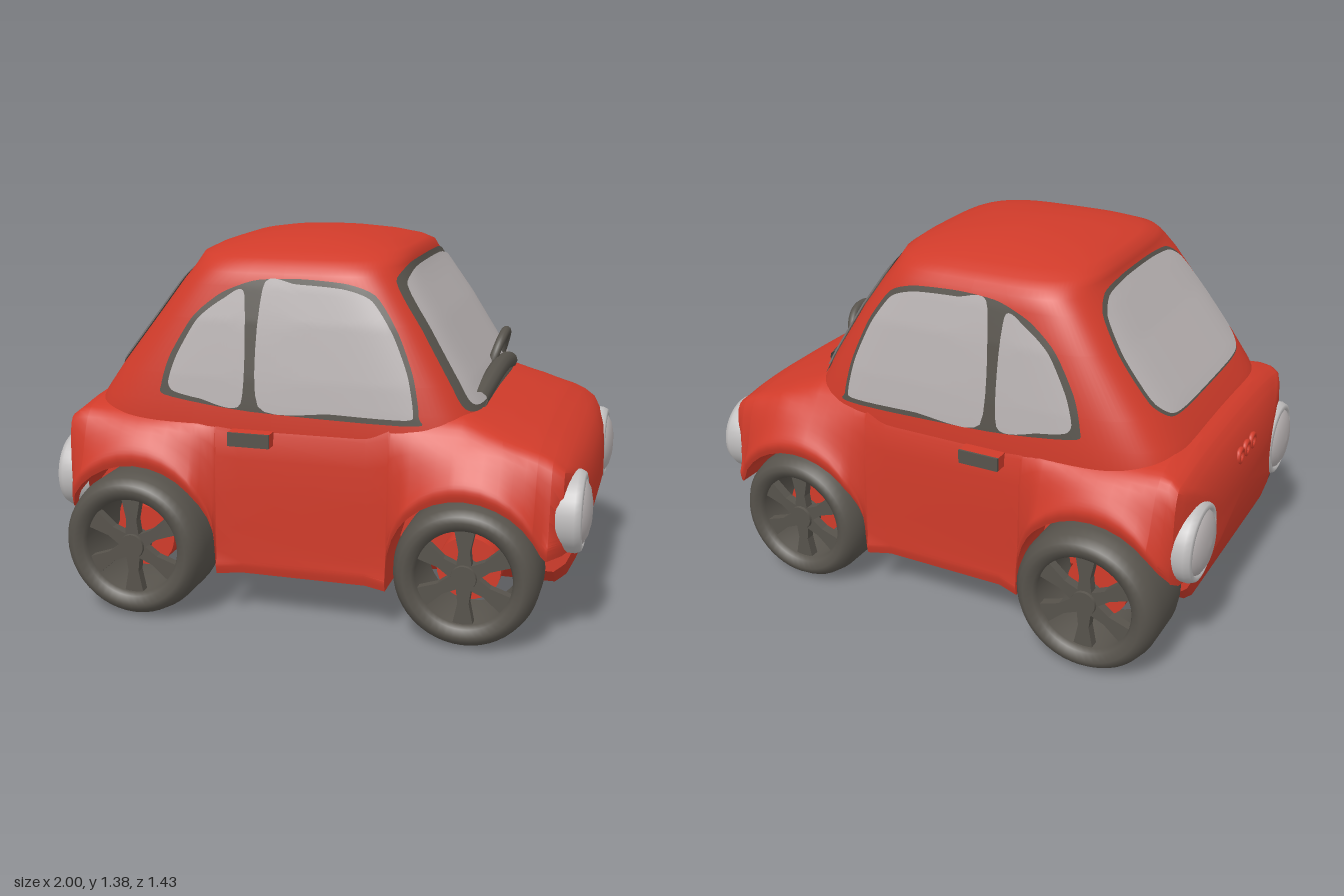
import * as THREE from 'three';
import { toCreasedNormals } from 'three/addons/utils/BufferGeometryUtils.js';

const mat = (name, color, side = THREE.FrontSide) => {
  const m = new THREE.MeshStandardMaterial({ color, side });
  m.name = name;
  return m;
};
const V = (x, y, z) => new THREE.Vector3(x, y, z);
const V2 = (x, y) => new THREE.Vector2(x, y);

// Piecewise-linear lookup in rows of [key, a, b, c]
function lookup(rows, k) {
  let i = 0;
  while (i < rows.length - 2 && k > rows[i + 1][0]) i++;
  const p = rows[i], q = rows[i + 1];
  const t = THREE.MathUtils.clamp((k - p[0]) / (q[0] - p[0]), 0, 1);
  return p.slice(1).map((v, j) => v + (q[j + 1] - v) * t);
}

// Skin closed rings of points, with optional end cap
function loft(rings, capEnd = true, crease = 0.6) {
  const n = rings[0].length, pts = rings.flat(), idx = [];
  for (let i = 0; i < rings.length - 1; i++) {
    for (let j = 0; j < n; j++) {
      const a = i * n + j, b = i * n + (j + 1) % n;
      idx.push(a, b, b + n, a, b + n, a + n);
    }
  }
  const cap = (start, flip) => {
    const mid = V(0, 0, 0);
    for (let j = 0; j < n; j++) mid.addScaledVector(pts[start + j], 1 / n);
    const c = pts.push(mid) - 1;
    for (let j = 0; j < n; j++) {
      const a = start + j, b = start + (j + 1) % n;
      idx.push(c, flip ? b : a, flip ? a : b);
    }
  };
  cap(0, true);
  if (capEnd) cap((rings.length - 1) * n, false);
  const g = new THREE.BufferGeometry().setFromPoints(pts);
  g.setIndex(idx);
  return toCreasedNormals(g, crease);
}

// Wheels: axle x, axle y, tyre radius, arch radius, outer z, width
const AXLES = [[0.587, 0.262, 0.26, 0.282, 0.668, 0.26], [-0.634, 0.272, 0.27, 0.295, 0.715, 0.3]];

// Lower body stations: x, top, half width, bottom
const BODY = [
  [-0.975, 0.6, 0.28, 0.4], [-0.96, 0.66, 0.4, 0.33], [-0.94, 0.71, 0.5, 0.26], [-0.91, 0.75, 0.6, 0.195],
  [-0.88, 0.775, 0.645, 0.17], [-0.84, 0.79, 0.66, 0.17], [-0.41, 0.78, 0.65, 0.17], [-0.345, 0.77, 0.62, 0.17],
  [-0.25, 0.76, 0.584, 0.17], [0.22, 0.76, 0.584, 0.17], [0.31, 0.8, 0.62, 0.17], [0.37, 0.83, 0.65, 0.17],
  [0.55, 0.82, 0.665, 0.17], [0.7, 0.775, 0.67, 0.17], [0.82, 0.735, 0.66, 0.17], [0.87, 0.71, 0.635, 0.17],
  [0.91, 0.685, 0.57, 0.205], [0.94, 0.66, 0.48, 0.27], [0.965, 0.62, 0.36, 0.34], [0.98, 0.57, 0.24, 0.41]];

function bodyRing(x) {
  const [T, W, B] = lookup(BODY, x);
  let A = x > AXLES[0][0] || x < AXLES[1][0] ? Math.max(0.35, B) : B;
  for (const [cx, cy, , R] of AXLES) {
    const d = Math.abs(x - cx);
    if (d <= R) A = Math.max(A, cy + Math.sqrt(Math.max(0, R * R - d * d)));
  }
  const y4 = Math.min(0.72, T - 0.06), z4 = Math.min(0.578, W * 0.99);
  const y2 = Math.min(A + 0.04, y4 - 0.1), y3 = y2 + 0.05;
  const skin = new THREE.SplineCurve([
    V2(0, T), V2(z4 * 0.5, T - 0.005), V2(z4 * 0.85, T - 0.025), V2(z4, y4),
    V2(W - (W - z4) * 0.3, y3), V2(W, y2), V2(W - 0.008, A)]).getPoints(24);
  const inner = Math.min(0.41, W - 0.02), bevel = Math.min(0.06, A - B);
  const half = [...skin, V2(inner, A), V2(inner, B + bevel), V2(inner - bevel, B), V2(0, B)];
  const other = half.slice(1, -1).reverse().map(p => V2(-p.x, p.y));
  return [...half, ...other].map(p => V(x, p.y, p.x));
}

// Cabin levels: y, back x, front x, half width, corner squareness
const CABIN = [
  [0.6, -0.92, 0.7, 0.57, 6], [0.72, -0.89, 0.635, 0.574, 6], [0.8, -0.85, 0.595, 0.568, 6],
  [0.9, -0.78, 0.54, 0.557, 6], [1.1, -0.625, 0.415, 0.527, 6],
  [1.22, -0.54, 0.335, 0.5, 5.5], [1.265, -0.507, 0.307, 0.487, 5], [1.29, -0.495, 0.295, 0.468, 4.7],
  [1.314, -0.49, 0.292, 0.438, 4.2], [1.336, -0.45, 0.265, 0.385, 3.6], [1.358, -0.38, 0.195, 0.305, 3],
  [1.374, -0.29, 0.1, 0.215, 2.5], [1.384, -0.19, 0, 0.11, 2], [1.387, -0.12, -0.06, 0.03, 2]];
const bulge = (u, pow) => Math.pow(Math.max(0, 1 - Math.pow(Math.abs(u), pow)), 1 / pow);

function cabinRing([y, x0, x1, hw, pow]) {
  const soft = v => Math.sign(v) * Math.pow(Math.abs(v), 2 / pow);
  return Array.from({ length: 96 }, (_, i) => {
    const t = (i / 96) * Math.PI * 2;
    return V((x0 + x1) / 2 + soft(Math.cos(t)) * (x1 - x0) / 2, y, -soft(Math.sin(t)) * hw);
  });
}

// Place window coordinates on the cabin surface
const onSide = s => (x, y, off) => {
  const [x0, x1, hw, pow] = lookup(CABIN, y);
  return V(x, y, s * (hw * bulge((2 * x - x0 - x1) / (x1 - x0), pow) + off));
};
const onEnd = s => (z, y, off) => {
  const [x0, x1, hw, pow] = lookup(CABIN, y);
  return V((x0 + x1) / 2 + s * ((x1 - x0) / 2 * bulge(z / hw, pow) + off), y, z);
};

// Thin plate that follows the cabin inside a rounded outline
function plate(outline, place, off, growA = 0, growB = growA) {
  const curve = new THREE.CatmullRomCurve3(outline.map(p => V(p[0], p[1], 0)), true, 'catmullrom', 0.35);
  const edge = curve.getPoints(64).slice(0, -1);
  const box = new THREE.Box3().setFromPoints(edge), c = box.getCenter(V(0, 0, 0)), s = box.getSize(V(0, 0, 0));
  const rings = [];
  for (let k = 0; k <= 14; k++) {
    const f = 0.02 + 0.07 * k;
    rings.push(edge.map(p => place(
      c.x + (p.x - c.x) * f * (1 + 2 * growA / s.x), c.y + (p.y - c.y) * f * (1 + 2 * growB / s.y), off)));
  }
  return loft(rings, false, 1);
}
const mirrored = half => [...half, ...half.slice().reverse().map(([a, b]) => [-a, b])];

export function createModel() {
  const root = new THREE.Group();
  const red = mat('red paint', 0xd03b2a);
  const dark = mat('dark rubber and trim', 0x57534c, THREE.DoubleSide);
  const glass = mat('grey glass', 0xb8b2b2, THREE.DoubleSide);
  const silver = mat('silver lamp', 0xc0bebe);
  const add = (name, geo, material, parent = root) => {
    const m = new THREE.Mesh(geo, material);
    m.name = name;
    parent.add(m);
    return m;
  };

  // Lower body with fenders and wheel arches
  const xs = BODY.map(r => r[0]);
  for (const [cx, , , R] of AXLES) {
    for (let k = 0; k <= 16; k++) xs.push(cx + R * Math.cos(k * Math.PI / 16));
    xs.push(cx - Math.sign(cx) * (R + 0.004));
  }
  xs.sort((a, b) => a - b);
  add('lowerBody', loft(xs.map(bodyRing)), red);
  add('cabin', loft(CABIN.map(cabinRing), true, 1.1), red);

  // Side windows, frames and handles
  const doorPane = [[-0.175, 0.805], [0.1, 0.795], [0.36, 0.79], [0.385, 0.815], [0.36, 0.94], [0.3, 1.08],
    [0.22, 1.19], [0.12, 1.225], [-0.05, 1.235], [-0.17, 1.228]];
  const rearPane = [[-0.24, 0.81], [-0.4, 0.82], [-0.5, 0.84], [-0.52, 0.875], [-0.49, 0.97], [-0.415, 1.1],
    [-0.32, 1.175], [-0.24, 1.195]];
  const surround = [[-0.2, 0.8], [0.36, 0.787], [0.385, 0.815], [0.36, 0.94], [0.3, 1.08], [0.22, 1.19], [0.12, 1.225],
    [-0.05, 1.235], [-0.2, 1.225], [-0.32, 1.18], [-0.42, 1.1], [-0.5, 0.97], [-0.53, 0.87], [-0.51, 0.835]];
  for (const s of [1, -1]) {
    const side = s > 0 ? 'left' : 'right';
    add(side + 'WindowFrame', plate(surround, onSide(s), 0.004, 0.02, 0.018), dark);
    add(side + 'DoorWindow', plate(doorPane, onSide(s), 0.009), glass);
    add(side + 'QuarterWindow', plate(rearPane, onSide(s), 0.009), glass);
    add(side + 'DoorHandle', new THREE.BoxGeometry(0.155, 0.05, 0.05), red).position.set(-0.195, 0.692, s * 0.598);
    add(side + 'HandleFace', new THREE.BoxGeometry(0.155, 0.05, 0.008), dark).position.set(-0.195, 0.692, s * 0.627);
  }

  // Windscreen and rear window
  const screen = mirrored([[0.2, 0.82], [0.39, 0.82], [0.435, 0.85], [0.425, 1.0], [0.405, 1.16], [0.37, 1.24], [0.2, 1.275]]);
  const back = mirrored([[0.2, 0.875], [0.34, 0.885], [0.4, 0.94], [0.4, 1.08], [0.36, 1.2], [0.28, 1.25], [0.12, 1.265]]);
  add('windscreenFrame', plate(screen, onEnd(1), 0.005, 0.035, 0.018), dark);
  add('windscreen', plate(screen, onEnd(1), 0.012), glass);
  add('rearWindowFrame', plate(back, onEnd(-1), 0.005, 0.01), dark);
  add('rearWindow', plate(back, onEnd(-1), 0.012), glass);

  // Dashboard and upper half of the steering wheel
  const dash = new THREE.CatmullRomCurve3([V(0.575, 0.825, 0.35), V(0.585, 0.855, 0.2), V(0.59, 0.872, 0),
    V(0.585, 0.855, -0.2), V(0.575, 0.825, -0.35)]);
  add('dashboard', new THREE.TubeGeometry(dash, 32, 0.034, 10), dark);
  const steer = add('steeringWheel', new THREE.TorusGeometry(0.112, 0.018, 10, 28, Math.PI), dark);
  steer.position.set(0.555, 0.875, -0.15);
  steer.rotation.set(0, Math.PI / 2, -0.3, 'ZYX');

  // Wheels with open spokes
  for (const [cx, cy, r, , outer, w] of AXLES) {
    const h = w / 2, ri = r * 0.66;
    const tyre = [[ri, -h], [r - 0.03, -h], [r - 0.008, -h + 0.02], [r, -h + 0.06], [r, h - 0.08], [r - 0.01, h - 0.035],
      [r - 0.03, h - 0.008], [r - 0.05, h], [ri + 0.01, h - 0.012], [ri, h - 0.03], [ri, -h]].map(p => V2(...p));
    const tyreGeo = toCreasedNormals(new THREE.LatheGeometry(tyre, 48).rotateX(Math.PI / 2), 0.8);
    // Tapered spoke, wider at the rim and hub
    const spokeShape = new THREE.Shape([V2(0.03, -0.028), V2(ri * 0.55, -0.02), V2(ri + 0.01, -0.038),
      V2(ri + 0.01, 0.038), V2(ri * 0.55, 0.02), V2(0.03, 0.028)]);
    const spokeGeo = new THREE.ExtrudeGeometry(spokeShape, { depth: 0.035, bevelEnabled: false }).translate(0, 0, h - 0.07);
    for (const s of [1, -1]) {
      const wheel = new THREE.Group();
      wheel.name = (cx > 0 ? 'front' : 'rear') + (s > 0 ? 'Left' : 'Right') + 'Wheel';
      wheel.position.set(cx, cy, s * (outer - h));
      if (s < 0) wheel.rotation.y = Math.PI;
      add('tyre', tyreGeo, dark, wheel);
      add('hub', new THREE.CylinderGeometry(0.045, 0.055, 0.06, 20).rotateX(Math.PI / 2), dark, wheel).position.z = h - 0.055;
      add('brakeDrum', new THREE.CylinderGeometry(0.115, 0.115, h, 28).rotateX(Math.PI / 2), red, wheel).position.z = -h / 2;
      for (let k = 0; k < 6; k++) add('spoke', spokeGeo, dark, wheel).rotation.z = (k + 0.5) * Math.PI / 3;
      root.add(wheel);
    }
  }

  // Round lamps at both ends
  const rim = [[0.13, -0.03], [0.145, 0.01], [0.147, 0.07], [0.138, 0.09], [0.122, 0.095], [0.115, 0.08]].map(p => V2(...p));
  const lens = [[0.12, 0.08], [0.112, 0.093], [0.085, 0.108], [0.045, 0.117], [0, 0.12]].map(p => V2(...p));
  for (const e of [1, -1]) {
    for (const s of [1, -1]) {
      const lamp = new THREE.Group();
      lamp.name = (e > 0 ? 'head' : 'tail') + 'Lamp' + (s > 0 ? 'Left' : 'Right');
      lamp.position.set(e * 0.88, 0.48, s * 0.45);
      if (e < 0) lamp.rotation.y = Math.PI;
      add('lampRim', new THREE.LatheGeometry(rim, 36).rotateZ(-Math.PI / 2), silver, lamp);
      add('lampLens', new THREE.LatheGeometry(lens, 36).rotateZ(-Math.PI / 2), glass, lamp);
      root.add(lamp);
    }
  }

  // Three small vents on the tail
  for (const z of [-0.07, 0, 0.07]) {
    const vent = add('tailVent', new THREE.TorusGeometry(0.024, 0.01, 8, 18), red);
    vent.position.set(-0.965, 0.64, z);
    vent.rotation.y = Math.PI / 2;
  }
  return root;
}
